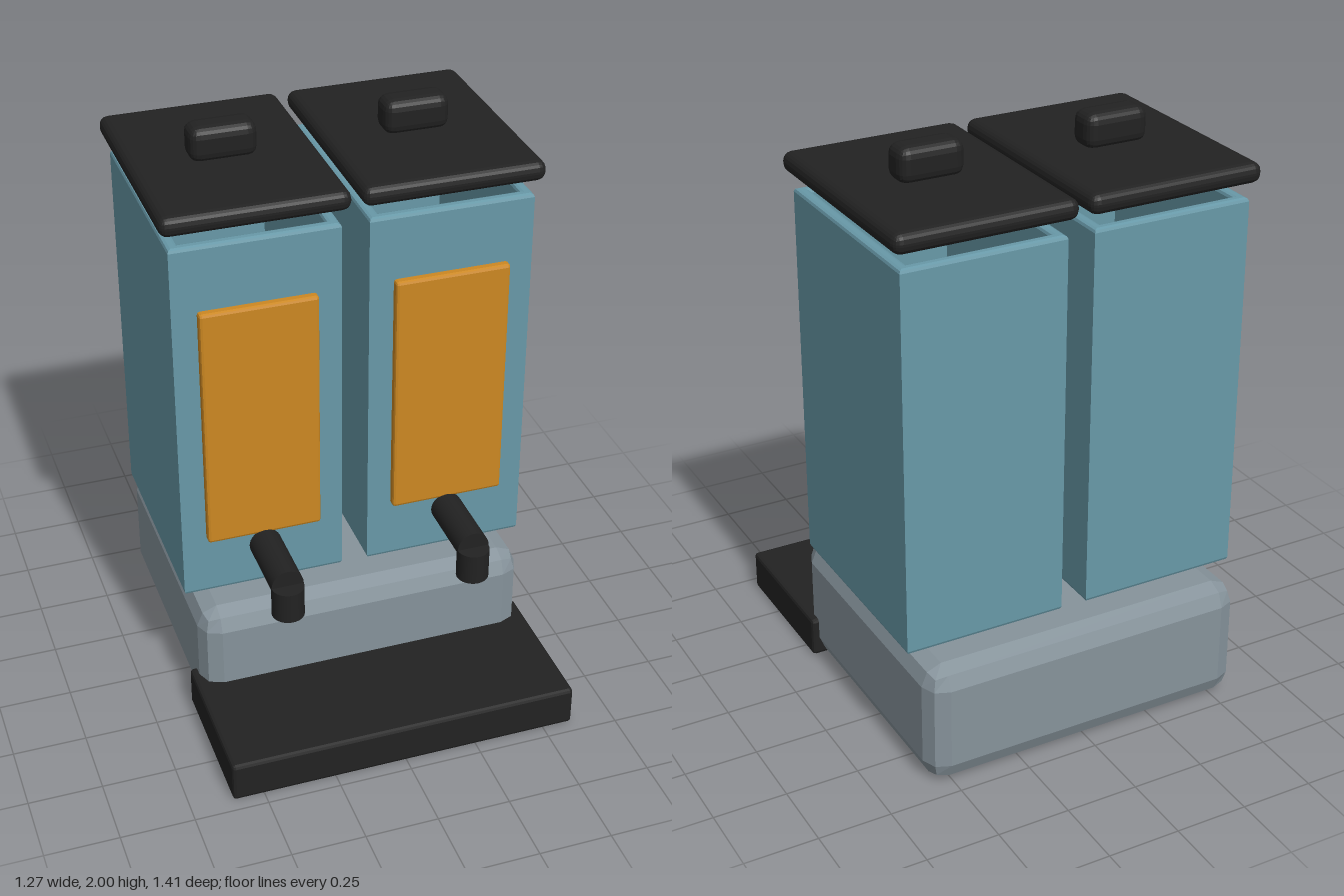
import * as THREE from 'three';
import { RoundedBoxGeometry } from 'three/addons/geometries/RoundedBoxGeometry.js';

const material = (name, color) => {
  const m = new THREE.MeshStandardMaterial({ color });
  m.name = name;
  return m;
};

export function createModel() {
  const teal = material('teal tank', 0x6899a8);
  const grey = material('grey base', 0x86939b);
  const orange = material('orange panel', 0xcc8822);
  const black = material('black trim', 0x222222);

  const model = new THREE.Group();
  model.name = 'twinDrinkDispenser';

  const add = (parent, name, geometry, mat, x = 0, y = 0, z = 0) => {
    const mesh = new THREE.Mesh(geometry, mat);
    mesh.name = name;
    mesh.position.set(x, y, z);
    parent.add(mesh);
    return mesh;
  };

  // Faceted bevelled box given by its lower and upper corners
  const box = (parent, name, mat, [x0, y0, z0], [x1, y1, z1], radius, segments = 1) => {
    const g = new RoundedBoxGeometry(x1 - x0, y1 - y0, z1 - z0, segments, radius);
    g.computeVertexNormals();
    return add(parent, name, g, mat, (x0 + x1) / 2, (y0 + y1) / 2, (z0 + z1) / 2);
  };

  const rectangle = (Type, w, d) => new Type([
    new THREE.Vector2(-w / 2, -d / 2), new THREE.Vector2(w / 2, -d / 2),
    new THREE.Vector2(w / 2, d / 2), new THREE.Vector2(-w / 2, d / 2),
  ]);

  // Base housing and drip tray
  box(model, 'base', grey, [-0.583, 0, -0.705], [0.58, 0.425, 0.285], 0.07);
  box(model, 'dripTray', black, [-0.607, 0, 0.175], [0.605, 0.143, 0.706], 0.012);

  // Hollow tank walls, open at the top
  const bevel = 0.012;
  const outline = rectangle(THREE.Shape, 0.56 - 2 * bevel, 0.756 - 2 * bevel);
  outline.holes.push(rectangle(THREE.Path, 0.48 + 2 * bevel, 0.676 + 2 * bevel));
  const wallGeometry = new THREE.ExtrudeGeometry(outline, {
    depth: 1.315 - 2 * bevel, bevelThickness: bevel, bevelSize: bevel, bevelSegments: 2,
  });
  wallGeometry.rotateX(-Math.PI / 2);

  for (const [side, x] of [['right', -0.328], ['left', 0.324]]) {
    const unit = new THREE.Group();
    unit.name = side + 'Dispenser';
    unit.position.x = x;
    model.add(unit);

    add(unit, 'tankWalls', wallGeometry, teal, 0, 0.455 + bevel, -0.212);
    box(unit, 'tankFloor', teal, [-0.265, 0.456, -0.575], [0.265, 0.53, 0.151], 0.005);
    box(unit, 'frontPanel', orange, [-0.197, 0.67, 0.155], [0.197, 1.542, 0.195], 0.01);

    // Lid with its grip
    box(unit, 'lid', black, [-0.308, 1.822, -0.62], [0.308, 1.89, 0.197], 0.03, 2);
    box(unit, 'lidGrip', black, [-0.112, 1.88, -0.266], [0.112, 2, -0.154], 0.035, 2);

    // Tap: horizontal pipe and downward spout
    const pipe = add(unit, 'tapPipe', new THREE.CylinderGeometry(0.055, 0.055, 0.25, 32), black, 0, 0.627, 0.315);
    pipe.rotation.x = Math.PI / 2;
    add(unit, 'tapSpout', new THREE.CylinderGeometry(0.055, 0.055, 0.11, 32), black, 0, 0.57, 0.44);
  }
  return model;
}
